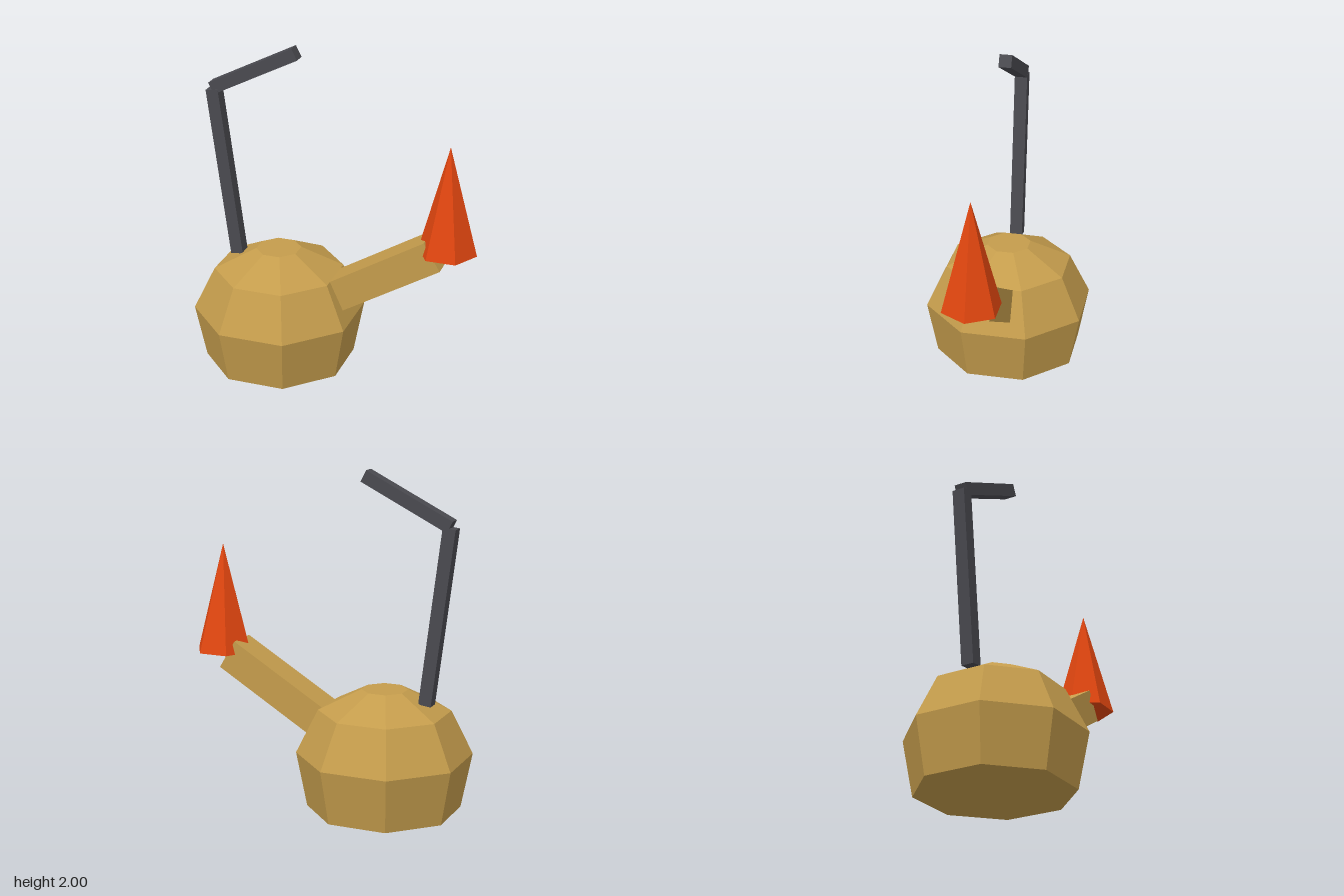
import * as THREE from 'three';

// Faceted look: split the vertices so every face gets its own normal.
function facet(geometry) {
  const g = geometry.index ? geometry.toNonIndexed() : geometry;
  g.computeVertexNormals();
  return g;
}

function part(name, geometry, material) {
  const mesh = new THREE.Mesh(facet(geometry), material);
  mesh.name = name;
  return mesh;
}

// Square bar between two points in the z = 0 plane.
function bar(name, [x0, y0], [x1, y1], width, material) {
  const dx = x1 - x0, dy = y1 - y0;
  const mesh = part(name, new THREE.BoxGeometry(Math.hypot(dx, dy), width, width), material);
  mesh.position.set((x0 + x1) / 2, (y0 + y1) / 2, 0);
  mesh.rotation.z = Math.atan2(dy, dx);
  return mesh;
}

export function createModel() {
  const brass = new THREE.MeshStandardMaterial({ color: 0xc49c4c });
  brass.name = 'brass';
  const iron = new THREE.MeshStandardMaterial({ color: 0x4a4a50 });
  iron.name = 'dark iron';
  const orange = new THREE.MeshStandardMaterial({ color: 0xe2460f });
  orange.name = 'flame orange';

  const model = new THREE.Group();
  model.name = 'lamp';

  // Eight-sided bowl with flat sides facing the axes
  const profile = [[0, 0], [0.457, 0], [0.522, 0.33], [0.392, 0.592], [0.137, 0.72], [0, 0.72]]
    .map(([r, y]) => new THREE.Vector2(r, y));
  const body = part('body', new THREE.LatheGeometry(profile, 8, Math.PI / 8), brass);
  body.position.x = -0.377;
  model.add(body);

  // Spout rising to the left, rooted inside the bowl
  model.add(bar('spout', [-0.035, 0.467], [0.608, 0.853], 0.195, brass));

  // Six-sided flame on the spout
  const flame = part('flame', new THREE.ConeGeometry(0.177, 0.655, 6, 1, false, Math.PI / 2), orange);
  flame.position.set(0.675, 0.855 + 0.655 / 2, 0);
  model.add(flame);

  // Bent handle
  const handle = new THREE.Group();
  handle.name = 'handle';
  handle.add(
    bar('handleUpright', [-0.637, 0.657], [-0.767, 1.697], 0.077, iron),
    bar('handleArm', [-0.77, 1.705], [-0.248, 1.967], 0.075, iron)
  );
  model.add(handle);

  return model;
}
